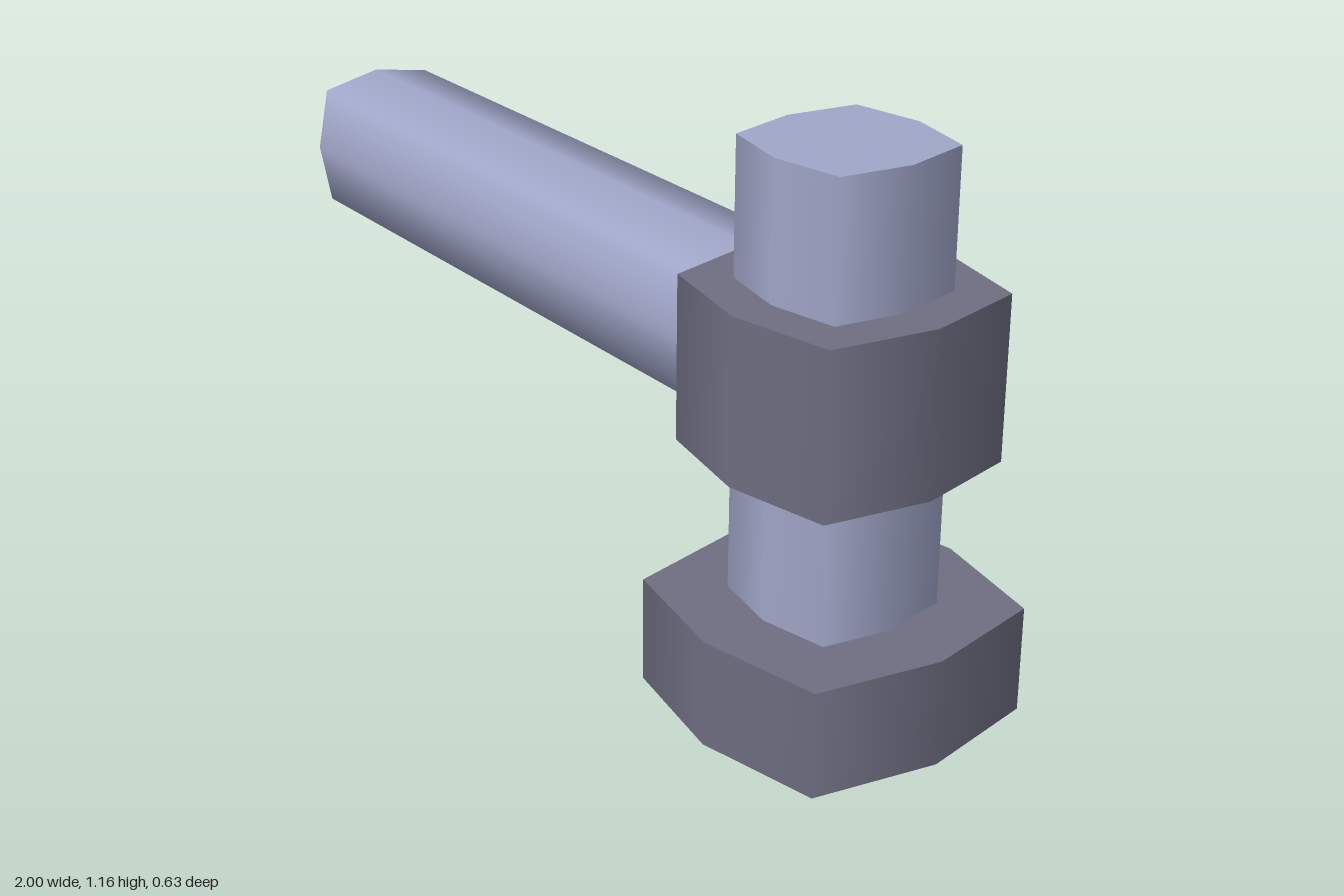
import * as THREE from 'three';

const paleSteel = new THREE.MeshStandardMaterial({ color: 0xa0a6c8 });
paleSteel.name = 'paleSteel';
const darkSteel = new THREE.MeshStandardMaterial({ color: 0x6e6e82 });
darkSteel.name = 'darkSteel';

// Eight-sided bar whose diagonal corners are pushed out into a bulging square.
function bulgedBar(radius, length) {
  const geometry = new THREE.CylinderGeometry(radius, radius, length, 8);
  const p = geometry.attributes.position;
  for (let i = 0; i < p.count; i++) {
    const x = p.getX(i), z = p.getZ(i);
    if (Math.abs(x) > radius * 0.1 && Math.abs(z) > radius * 0.1) {
      p.setXYZ(i, x * 1.182, p.getY(i), z * 1.182);
    }
  }
  return geometry;
}

export function createModel() {
  const group = new THREE.Group();
  group.name = 'hammer';
  const headX = 0.685;

  // Upright head: striking face, neck and collar
  const addUpright = (name, radius, bottom, top, material) => {
    const mesh = new THREE.Mesh(bulgedBar(radius, top - bottom), material);
    mesh.name = name;
    mesh.position.set(headX, (bottom + top) / 2, 0);
    group.add(mesh);
  };
  addUpright('strikingFace', 0.315, 0, 0.225, darkSteel);
  addUpright('headPost', 0.173, 0.1, 1.162, paleSteel);
  addUpright('collar', 0.262, 0.537, 0.88, darkSteel);

  // Handle reaching sideways into the collar
  const handle = new THREE.Mesh(bulgedBar(0.161, 1.6), paleSteel);
  handle.name = 'handle';
  handle.rotation.z = Math.PI / 2;
  handle.position.set(-0.2, 0.709, 0);
  group.add(handle);

  return group;
}
